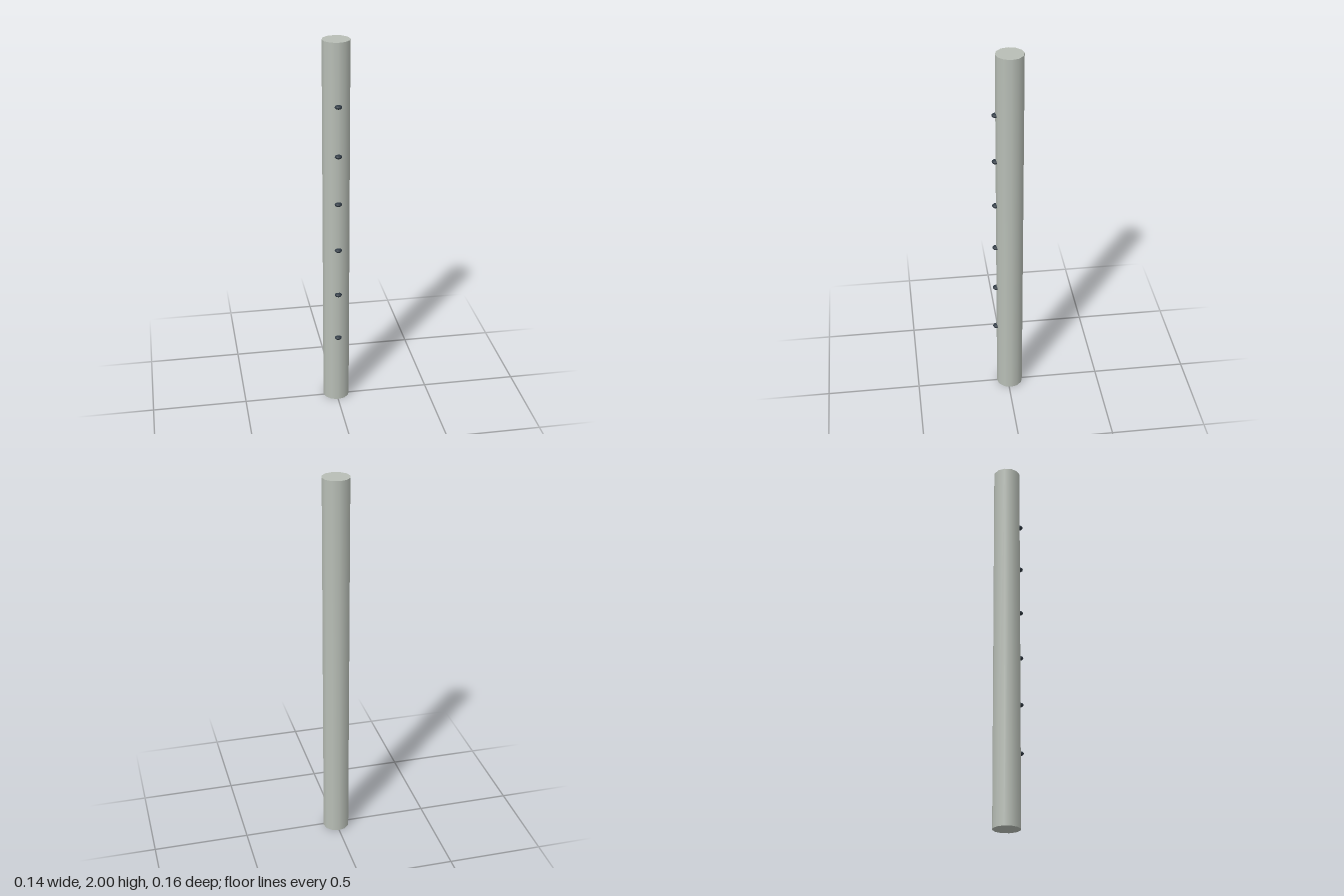
import * as THREE from 'three';

export function createModel() {
  const model = new THREE.Group();
  const tubeMaterial = new THREE.MeshStandardMaterial({ color: 0xb8beb6 });
  const studMaterial = new THREE.MeshStandardMaterial({ color: 0x303a44 });

  // Twelve-sided smooth post, set slightly back to balance the studs
  const post = new THREE.Mesh(new THREE.CylinderGeometry(0.0705, 0.0705, 2, 12), tubeMaterial);
  post.name = 'post';
  post.position.set(0, 1, -0.01);
  model.add(post);

  // Row of six flattened studs up the front
  const studGeometry = new THREE.SphereGeometry(0.0188, 12, 8).scale(1, 0.6, 1);
  const studs = new THREE.Group();
  studs.name = 'studs';
  for (let i = 0; i < 6; i++) {
    const stud = new THREE.Mesh(studGeometry, studMaterial);
    stud.name = `stud${i + 1}`;
    stud.position.set(0, 0.39 + i * 0.258, 0.061);
    studs.add(stud);
  }
  model.add(studs);

  return model;
}
